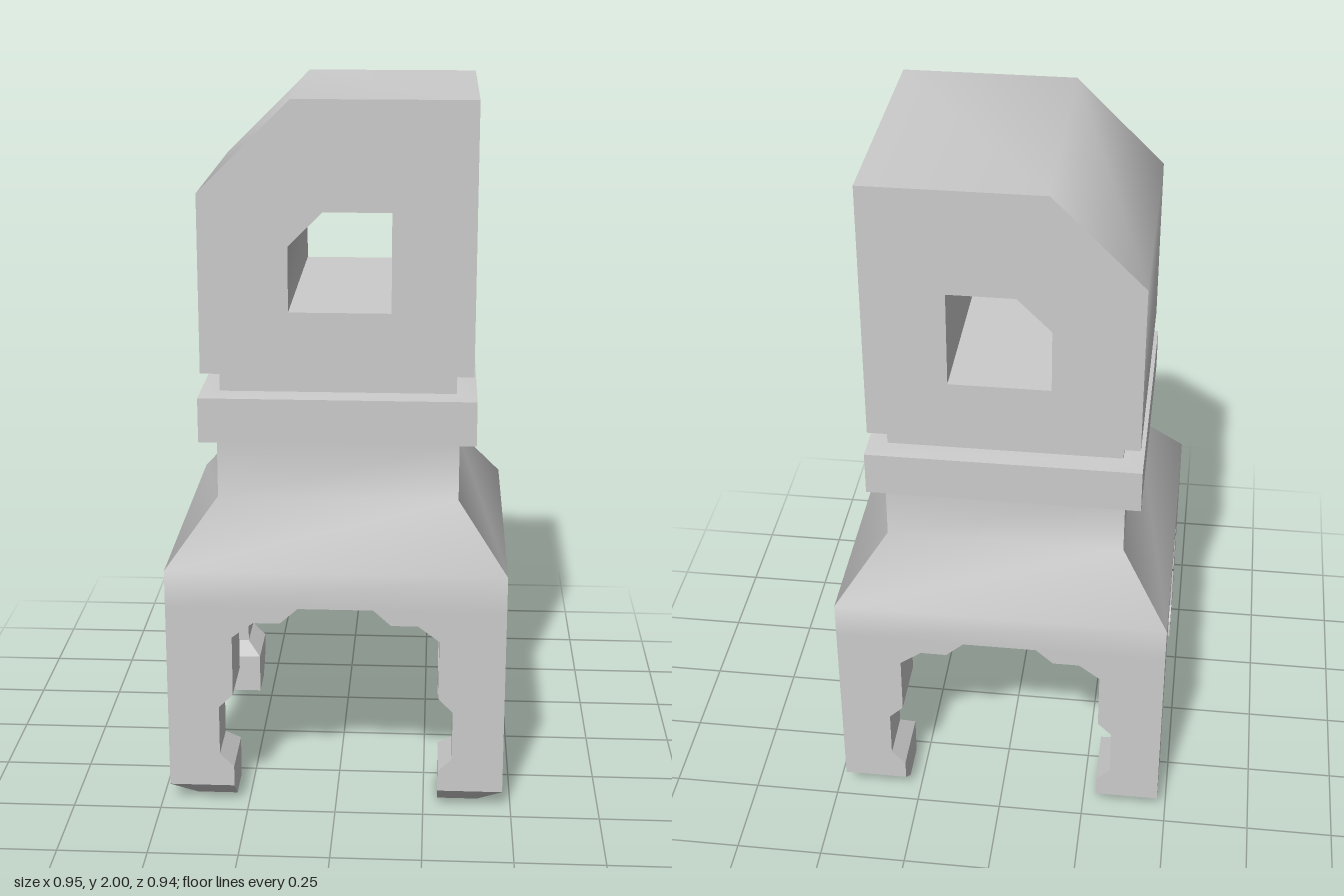
import * as THREE from 'three';
import { toCreasedNormals } from 'three/addons/utils/BufferGeometryUtils.js';

const CREASE = THREE.MathUtils.degToRad(50);
const DEPTH = 0.988; // the model is slightly shallower than wide

// Stack of rectangular sections [y, inner, outer], spanning inner..outer
// along x and z, mirrored by the signs sx and sz.
function loft(sections, sx, sz, topCap) {
  const pos = [], index = [];
  for (const [y, a, b] of sections) {
    const [x0, x1] = sx > 0 ? [a, b] : [-b, -a];
    const [z0, z1] = sz > 0 ? [a, b] : [-b, -a];
    for (const [x, z] of [[x0, z0], [x0, z1], [x1, z1], [x1, z0]]) pos.push(x, y, z * DEPTH);
  }
  const last = (sections.length - 1) * 4;
  for (let r = 0; r < last; r += 4) {
    for (let i = 0; i < 4; i++) {
      const a = r + i, b = r + (i + 1) % 4;
      index.push(a, b, b + 4, a, b + 4, a + 4);
    }
  }
  index.push(0, 2, 1, 0, 3, 2);
  if (topCap) index.push(last, last + 1, last + 2, last, last + 2, last + 3);
  const geo = new THREE.BufferGeometry();
  geo.setAttribute('position', new THREE.Float32BufferAttribute(pos, 3));
  geo.setIndex(index);
  return geo;
}

// Centred square stack from [y, half width] pairs
const block = (profile) => toCreasedNormals(loft(profile.map(([y, h]) => [y, -h, h]), 1, 1, true), CREASE);

export function createModel() {
  const model = new THREE.Group();
  model.name = 'tower';
  const smooth = new THREE.MeshStandardMaterial({ color: 0xcccccc });
  const flat = new THREE.MeshStandardMaterial({ color: 0xcccccc, flatShading: true });

  const add = (name, geometry, material = smooth) => {
    const mesh = new THREE.Mesh(geometry, material);
    mesh.name = name;
    model.add(mesh);
  };

  // Four corner legs: notched on the inside, stepping out into the vault
  const leg = [
    [0, 0.29, 0.405], [0.06, 0.29, 0.475], [0.12, 0.29, 0.475], [0.16, 0.33, 0.475],
    [0.305, 0.33, 0.475], [0.345, 0.29, 0.475], [0.52, 0.29, 0.475], [0.565, 0.23, 0.475],
    [0.565, 0.155, 0.475], [0.61, 0.105, 0.475],
  ];
  for (const [sx, side] of [[1, 'Left'], [-1, 'Right']]) {
    for (const [sz, end] of [[1, 'front'], [-1, 'back']]) {
      add(`${end}${side}Leg`, loft(leg, sx, sz, false), flat);
    }
  }

  // Sloping shoulders and neck
  add('body', block([[0.61, 0.475], [0.715, 0.475], [0.89, 0.337], [1.052, 0.337]]));

  // Band and recessed collar under the head
  add('band', block([[1.05, 0.337], [1.062, 0.383], [1.188, 0.383], [1.195, 0.33]]));
  add('collar', block([[1.19, 0.327], [1.248, 0.327]]));
  add('headBase', block([[1.246, 0.327], [1.256, 0.373]]));

  // Head with one bevelled corner and a matching tunnel from front to back
  const outline = [[-0.375, 1.256], [0.373, 1.256], [0.373, 2], [-0.122, 2], [-0.375, 1.75]];
  const opening = [[-0.132, 1.43], [-0.132, 1.61], [-0.038, 1.703], [0.147, 1.703], [0.147, 1.43]];
  const points = (list) => list.map(([x, y]) => new THREE.Vector2(x, y));
  const shape = new THREE.Shape(points(outline));
  shape.holes.push(new THREE.Path(points(opening)));
  const depth = 0.74;
  const head = new THREE.ExtrudeGeometry(shape, { depth, bevelEnabled: false });
  head.translate(0, 0, -depth / 2);
  add('head', toCreasedNormals(head, CREASE));

  return model;
}
